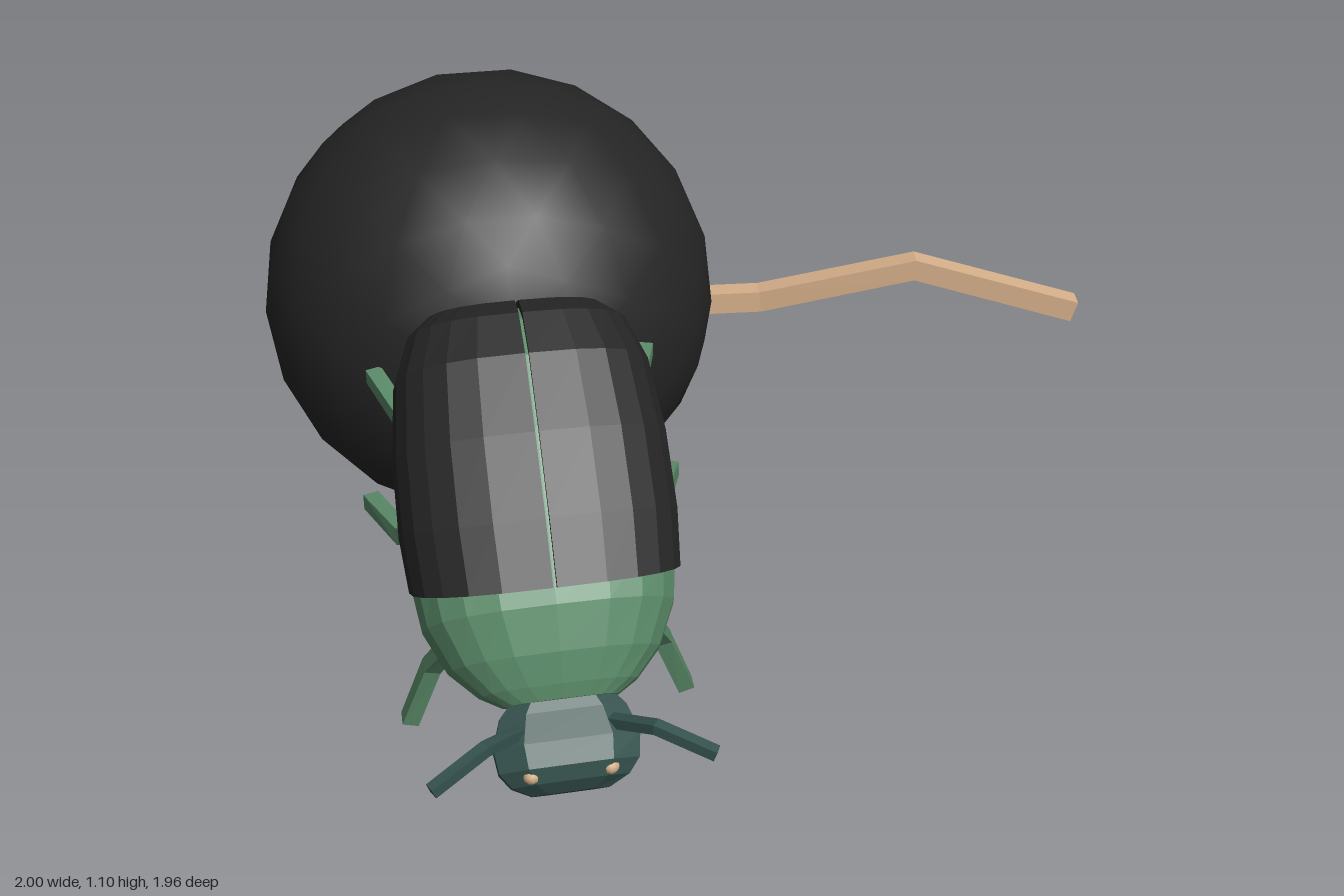
import * as THREE from 'three';

const mat = (name, color) => {
  const m = new THREE.MeshStandardMaterial({ color });
  m.name = name;
  return m;
};
const V = (x, y, z) => new THREE.Vector3(x, y, z);

// Closed, faceted solid through a list of equal-length rings (counterclockwise about the travel direction)
function loft(rings) {
  const pos = [];
  const tri = (...pts) => pts.forEach((p) => pos.push(p.x, p.y, p.z));
  const n = rings[0].length;
  for (let i = 0; i < rings.length - 1; i++) {
    for (let j = 0; j < n; j++) {
      const k = (j + 1) % n;
      const a = rings[i][j], b = rings[i][k], c = rings[i + 1][k], d = rings[i + 1][j];
      tri(a, b, c);
      tri(a, c, d);
    }
  }
  const cap = (ring, flip) => {
    const c = V(0, 0, 0);
    ring.forEach((p) => c.addScaledVector(p, 1 / n));
    ring.forEach((p, j) => {
      const q = ring[(j + 1) % n];
      if (flip) tri(c, q, p);
      else tri(c, p, q);
    });
  };
  cap(rings[0], true);
  cap(rings[rings.length - 1], false);
  const g = new THREE.BufferGeometry();
  g.setAttribute('position', new THREE.Float32BufferAttribute(pos, 3));
  g.computeVertexNormals();
  return g;
}

// Square bar with mitred bends along a polyline
function bar(points, thick, ref) {
  const pts = points.map((p) => V(...p));
  const h = thick / 2;
  return loft(pts.map((p, i) => {
    const t = V(0, 0, 0);
    if (i > 0) t.add(p.clone().sub(pts[i - 1]).normalize());
    if (i < pts.length - 1) t.add(pts[i + 1].clone().sub(p).normalize());
    t.normalize();
    const side = ref.clone().cross(t).normalize();
    const up = t.clone().cross(side);
    return [[1, -1], [1, 1], [-1, 1], [-1, -1]].map(([a, b]) =>
      p.clone().addScaledVector(side, a * h).addScaledVector(up, b * h));
  }));
}

// Points of a boxy arch, from angle a0 to a1
function arch(w, lo, hi, f, slant, a0, a1, steps, shift = 0) {
  const out = [];
  for (let i = 0; i <= steps; i++) {
    const a = a0 + ((a1 - a0) * i) / steps;
    const c = Math.abs(Math.cos(a)) < 1e-6 ? 0 : Math.cos(a);
    const s = Math.max(0, Math.sin(a));
    const sy = s < 1e-6 ? 0 : Math.pow(s, 0.75);
    const x = Math.sign(c) * Math.pow(Math.abs(c), 0.75) * w;
    out.push(V(x + shift * (1 - Math.abs(x) / w), lo + (hi - lo) * sy, f + slant * sy));
  }
  return out;
}

export function createModel() {
  const black = mat('black', 0x252525);
  const green = mat('green', 0x5a8a68);
  const teal = mat('dark teal', 0x35524e);
  const tan = mat('tan', 0xd6b08a);

  const model = new THREE.Group();
  model.name = 'beetleWithBall';
  const add = (parent, name, geometry, material) => {
    const m = new THREE.Mesh(geometry, material);
    m.name = name;
    parent.add(m);
    return m;
  };

  // Ball with a twig stuck in its side
  add(model, 'ball', new THREE.IcosahedronGeometry(0.55, 3), black).position.set(-0.45, 0.555, -0.43);
  add(model, 'twig', bar([[-0.05, 0.525, -0.35], [0.21, 0.522, -0.33], [0.59, 0.605, -0.262], [0.99, 0.485, -0.19]],
    0.054, V(0, 1, 0)), tan);

  const beetle = new THREE.Group();
  beetle.name = 'beetle';
  beetle.position.x = -0.45;
  model.add(beetle);

  // Tilted trunk: local z runs towards the head, local y out of the back
  const trunk = new THREE.Group();
  trunk.name = 'trunk';
  trunk.rotation.x = 0.81;
  beetle.add(trunk);

  // Body and thorax: [along, half width, belly, back]
  const bodyRows = [
    [-0.465, 0.12, 0.64, 0.68], [-0.45, 0.18, 0.632, 0.745], [-0.41, 0.225, 0.63, 0.803],
    [-0.32, 0.262, 0.63, 0.845], [-0.16, 0.283, 0.63, 0.862], [0, 0.286, 0.63, 0.865],
    [0.11, 0.278, 0.625, 0.856], [0.2, 0.265, 0.61, 0.848], [0.29, 0.222, 0.615, 0.812],
    [0.35, 0.165, 0.64, 0.775], [0.378, 0.12, 0.66, 0.752],
  ];
  add(trunk, 'body', loft(bodyRows.map(([f, w, lo, hi]) => [
    ...arch(w, lo + 0.02, hi, f, 0, 0, Math.PI, 10),
    V(-w * 0.88, lo, f), V(w * 0.88, lo, f),
  ])), green);

  // Wing cases: [along, half width, top, forward lean of the row]
  const wingRows = [
    [-0.478, 0.13, 0.7, 0], [-0.464, 0.19, 0.76, 0], [-0.42, 0.238, 0.817, 0],
    [-0.32, 0.275, 0.858, 0], [-0.16, 0.292, 0.874, 0.01], [0, 0.294, 0.877, 0.03],
    [0.115, 0.284, 0.866, 0.055],
  ];
  for (const s of [1, -1]) {
    const a0 = s > 0 ? 0 : Math.PI / 2;
    add(trunk, s > 0 ? 'leftWingCase' : 'rightWingCase', loft(wingRows.map(([f, w, hi, lean]) => [
      ...arch(w, 0.65, hi, f, lean, a0, a0 + Math.PI / 2, 6, s * 0.004),
      V(s * 0.004, 0.65, f),
    ])), black);
  }

  // Head: eight-sided rows [along, half width, bottom, top]
  const headRows = [
    [0.355, 0.09, 0.665, 0.74], [0.4, 0.13, 0.64, 0.745], [0.46, 0.15, 0.632, 0.76],
    [0.51, 0.143, 0.626, 0.758], [0.54, 0.12, 0.628, 0.735], [0.56, 0.08, 0.645, 0.695],
  ];
  const octagon = [[1, -0.4], [1, 0.4], [0.6, 1], [-0.6, 1], [-1, 0.4], [-1, -0.4], [-0.6, -1], [0.6, -1]];
  add(trunk, 'head', loft(headRows.map(([f, w, lo, hi]) =>
    octagon.map(([x, y]) => V(x * w, (lo + hi) / 2 + (y * (hi - lo)) / 2, f)))), teal);

  // Paired eyes, antennae and legs; x is the distance from the middle
  const legs = {
    FrontLeg: [[0.2, 0.29, 0.63], [0.25, 0.17, 0.547], [0.305, 0.012, 0.518]],
    MiddleLeg: [[0.235, 0.465, 0.445], [0.28, 0.37, 0.34], [0.342, 0.358, 0.163]],
    HindLeg: [[0.2, 0.62, 0.32], [0.255, 0.575, 0.2], [0.31, 0.598, 0.02]],
  };
  for (const s of [1, -1]) {
    const sideName = s > 0 ? 'left' : 'right';
    const flip = (pts) => pts.map(([x, y, z]) => [s * x, y, z]);
    for (const [name, pts] of Object.entries(legs)) {
      add(beetle, sideName + name, bar(flip(pts), 0.036, V(1, 0, 0)), green);
    }
    add(beetle, sideName + 'Antenna', bar(flip([[0.08, 0.19, 0.82], [0.17, 0.232, 0.915], [0.283, 0.188, 0.967]]),
      0.024, V(0, 1, 0)), teal);
    add(beetle, sideName + 'Eye', new THREE.IcosahedronGeometry(0.019, 1), tan).position.set(s * 0.08, 0.128, 0.889);
  }
  return model;
}
